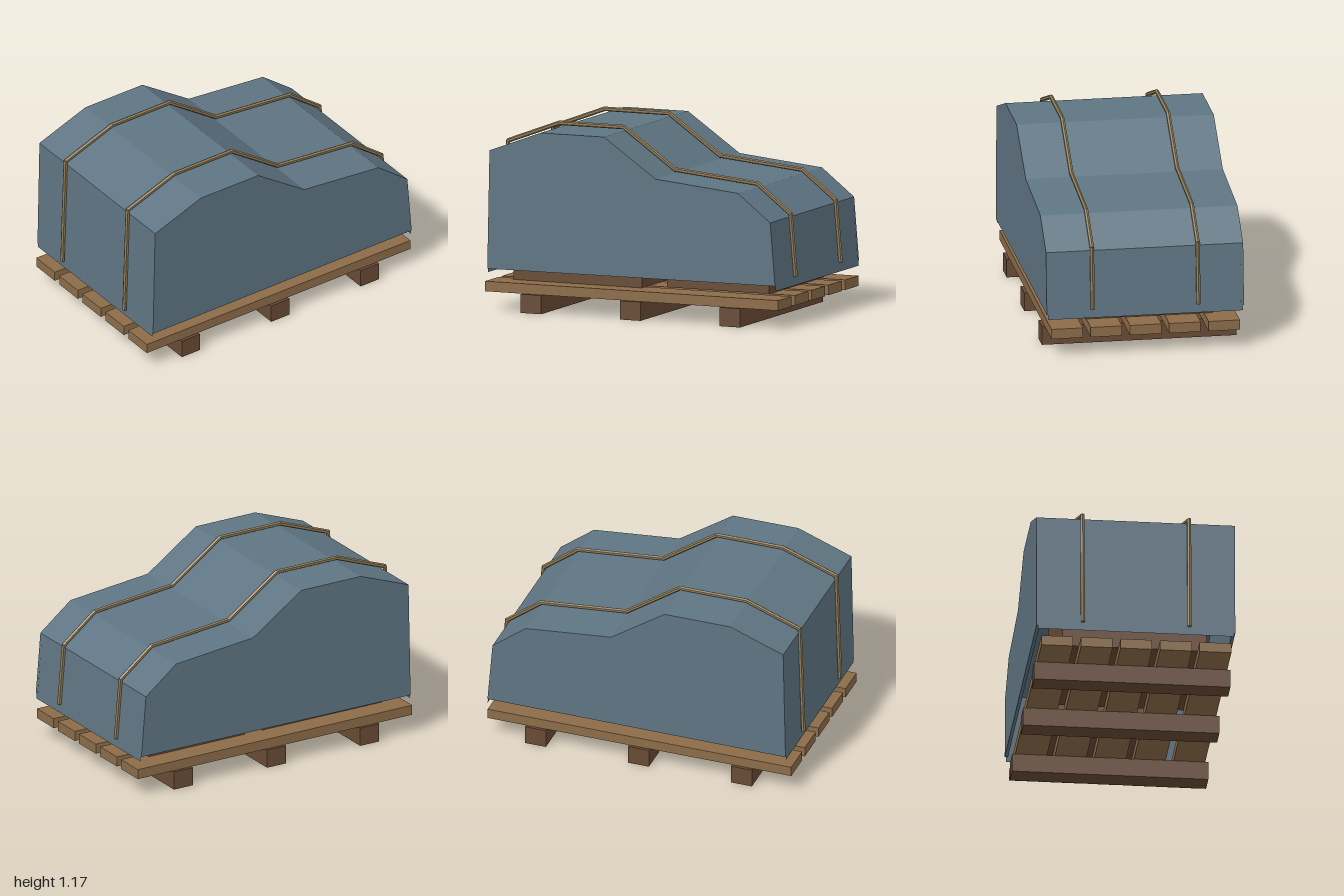
import * as THREE from 'three';

const material = (name, color, extra = {}) => {
  const m = new THREE.MeshStandardMaterial({ color, ...extra });
  m.name = name;
  return m;
};

export function createModel() {
  const model = new THREE.Group();
  model.name = 'coveredPallet';
  const tarpBlue = material('tarpBlue', 0x5f7583, { side: THREE.DoubleSide });
  const plankWood = material('plankWood', 0x8c6c49);
  const darkWood = material('darkWood', 0x694b35);
  const ropeTan = material('ropeTan', 0x8f7b57);

  const add = (parent, name, geometry, mat) => {
    const mesh = new THREE.Mesh(geometry, mat);
    mesh.name = name;
    parent.add(mesh);
    return mesh;
  };
  // Box given by its limits on each axis
  const box = (parent, name, mat, [x0, x1], [y0, y1], [z0, z1]) =>
    add(parent, name, new THREE.BoxGeometry(x1 - x0, y1 - y0, z1 - z0), mat)
      .position.set((x0 + x1) / 2, (y0 + y1) / 2, (z0 + z1) / 2);

  // Pallet: three skids across, five planks along
  const pallet = new THREE.Group();
  pallet.name = 'pallet';
  model.add(pallet);
  for (const x of [-0.68, -0.005, 0.67])
    box(pallet, 'skid', darkWood, [x - 0.069, x + 0.069], [0, 0.117], [-0.607, 0.607]);
  for (let i = -2; i <= 2; i++) {
    const z = i * 0.245;
    box(pallet, 'plank', plankWood, [-1, 0.99], [0.117, 0.18], [z - 0.098, z + 0.098]);
  }

  // Crates hidden under the tarp
  box(model, 'tallCrate', darkWood, [-0.87, 0], [0.18, 0.95], [-0.445, 0.448]);
  box(model, 'lowCrate', darkWood, [0.125, 0.82], [0.18, 0.66], [-0.445, 0.352]);

  // Tarp: side panels joined by a folded sheet over the top and ends
  const ridge = [[-0.957, 1.0], [-0.61, 1.13], [-0.18, 1.13], [0.17, 0.89], [0.73, 0.835], [0.948, 0.665]];
  const tarp = new THREE.Group();
  tarp.name = 'tarp';
  model.add(tarp);
  const outline = [[-0.972, 0.263], ...ridge, [0.981, 0.272]];
  const shape = new THREE.Shape(outline.map(([x, y]) => new THREE.Vector2(x, y)));
  for (const [name, z] of [['tarpFront', 0.595], ['tarpBack', -0.615]])
    add(tarp, name, new THREE.ExtrudeGeometry(shape, { depth: 0.02, bevelEnabled: false }), tarpBlue)
      .position.z = z;

  const fold = [[-0.9725, 0.24], ...ridge, [0.983, 0.24]];
  const w = 0.607;
  const corners = [];
  for (let i = 0; i < fold.length - 1; i++) {
    const [p, q] = [fold[i], fold[i + 1]];
    corners.push(...p, w, ...q, w, ...q, -w, ...p, w, ...q, -w, ...p, -w);
  }
  const sheet = new THREE.BufferGeometry();
  sheet.setAttribute('position', new THREE.Float32BufferAttribute(corners, 3));
  sheet.computeVertexNormals();
  add(tarp, 'tarpCover', sheet, tarpBlue);

  // Ropes: straight six-sided lengths following the tarp
  const ropePath = [[-0.986, 0.295], [-0.962, 1.024], [-0.613, 1.155], [-0.177, 1.155],
    [0.172, 0.912], [0.732, 0.858], [0.955, 0.685], [0.989, 0.3]];
  for (const z of [-0.33, 0.33]) {
    const rope = new THREE.Group();
    rope.name = 'rope';
    rope.position.z = z;
    model.add(rope);
    for (let i = 0; i < ropePath.length - 1; i++) {
      const a = new THREE.Vector3(...ropePath[i], 0);
      const b = new THREE.Vector3(...ropePath[i + 1], 0);
      const dir = b.clone().sub(a);
      const geometry = new THREE.CylinderGeometry(0.014, 0.014, dir.length() + 0.006, 6).toNonIndexed();
      geometry.rotateY(Math.PI / 2);
      geometry.computeVertexNormals();
      const length = add(rope, 'ropeLength', geometry, ropeTan);
      length.position.copy(a).lerp(b, 0.5);
      length.quaternion.setFromUnitVectors(new THREE.Vector3(0, 1, 0), dir.normalize());
    }
  }
  return model;
}
